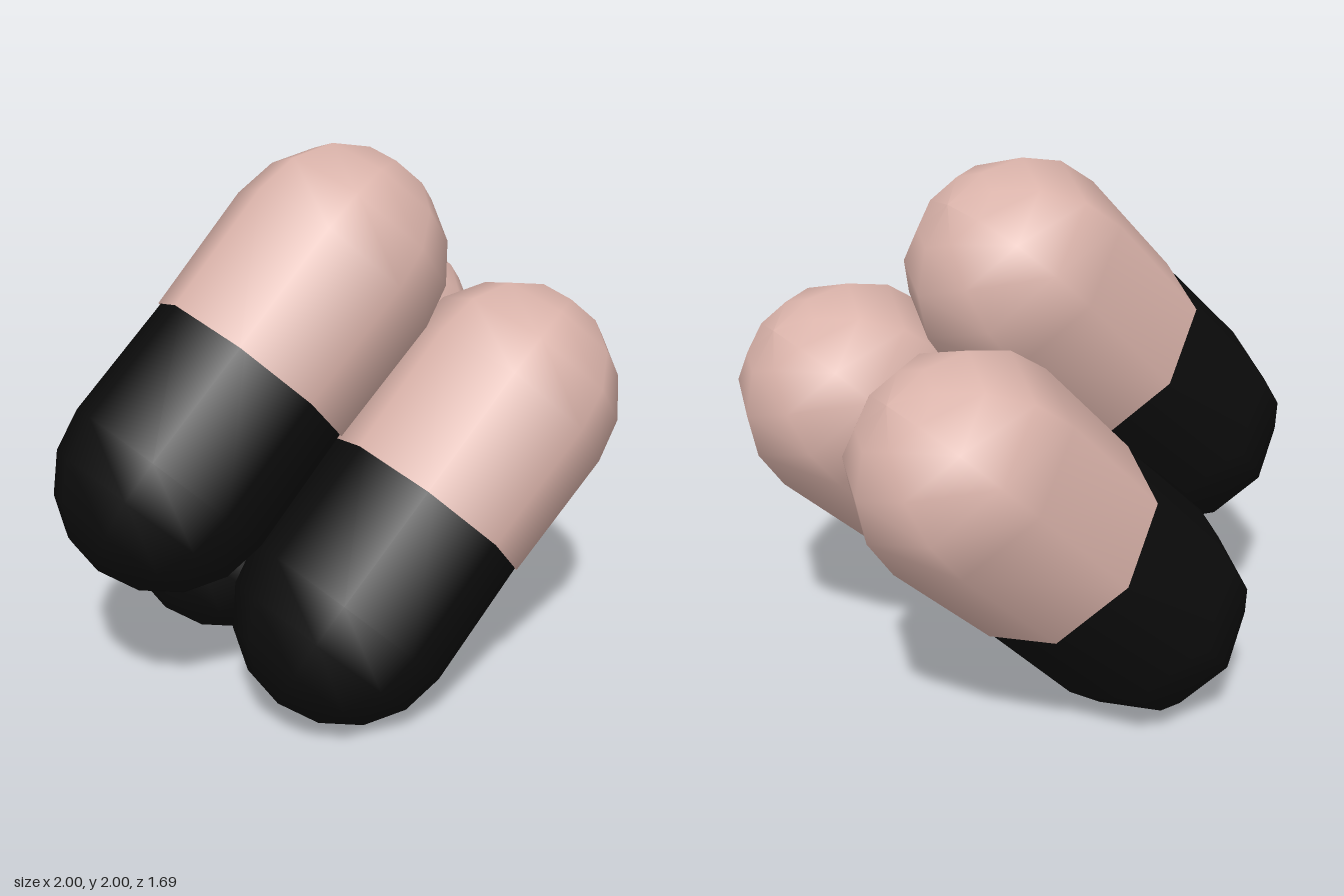
import * as THREE from 'three';

const SIDES = 8;
const CAP_STEPS = 4;

const pinkMaterial = new THREE.MeshStandardMaterial({ color: 0xd9b2a9, side: THREE.DoubleSide });
pinkMaterial.name = 'dustyPink';
const blackMaterial = new THREE.MeshStandardMaterial({ color: 0x0c0c0c, side: THREE.DoubleSide });
blackMaterial.name = 'black';

// Half shell: slightly flared tube from y = start to y = length, closed by a dome
function halfShell(start, seamRadius, length, radius) {
  const profile = [new THREE.Vector2(seamRadius, start)];
  for (let i = 0; i <= CAP_STEPS; i++) {
    const a = (i / CAP_STEPS) * Math.PI / 2;
    const r = i === CAP_STEPS ? 0 : radius * Math.cos(a);
    profile.push(new THREE.Vector2(r, length + radius * Math.sin(a)));
  }
  return new THREE.LatheGeometry(profile, SIDES);
}

const upperGeometry = halfShell(0, 0.408, 0.497, 0.42);
// The lower half slides a little way into the upper one
const lowerGeometry = halfShell(-0.03, 0.399, 0.478, 0.41);

function createCapsule(name, x, y, z) {
  const capsule = new THREE.Group();
  capsule.name = name;

  const upper = new THREE.Mesh(upperGeometry, pinkMaterial);
  upper.name = 'upperHalf';

  const lower = new THREE.Mesh(lowerGeometry, blackMaterial);
  lower.name = 'lowerHalf';
  lower.rotation.x = Math.PI;

  capsule.add(upper, lower);
  capsule.position.set(x, y, z);
  capsule.rotation.z = -Math.PI / 4;
  return capsule;
}

export function createModel() {
  const model = new THREE.Group();
  model.name = 'capsulePile';
  // Two capsules side by side, a third resting between them
  model.add(
    createCapsule('frontCapsule', 0.217, 0.75, 0.423),
    createCapsule('backCapsule', 0.217, 0.75, -0.423),
    createCapsule('middleCapsule', -0.259, 1.229, 0)
  );
  return model;
}
